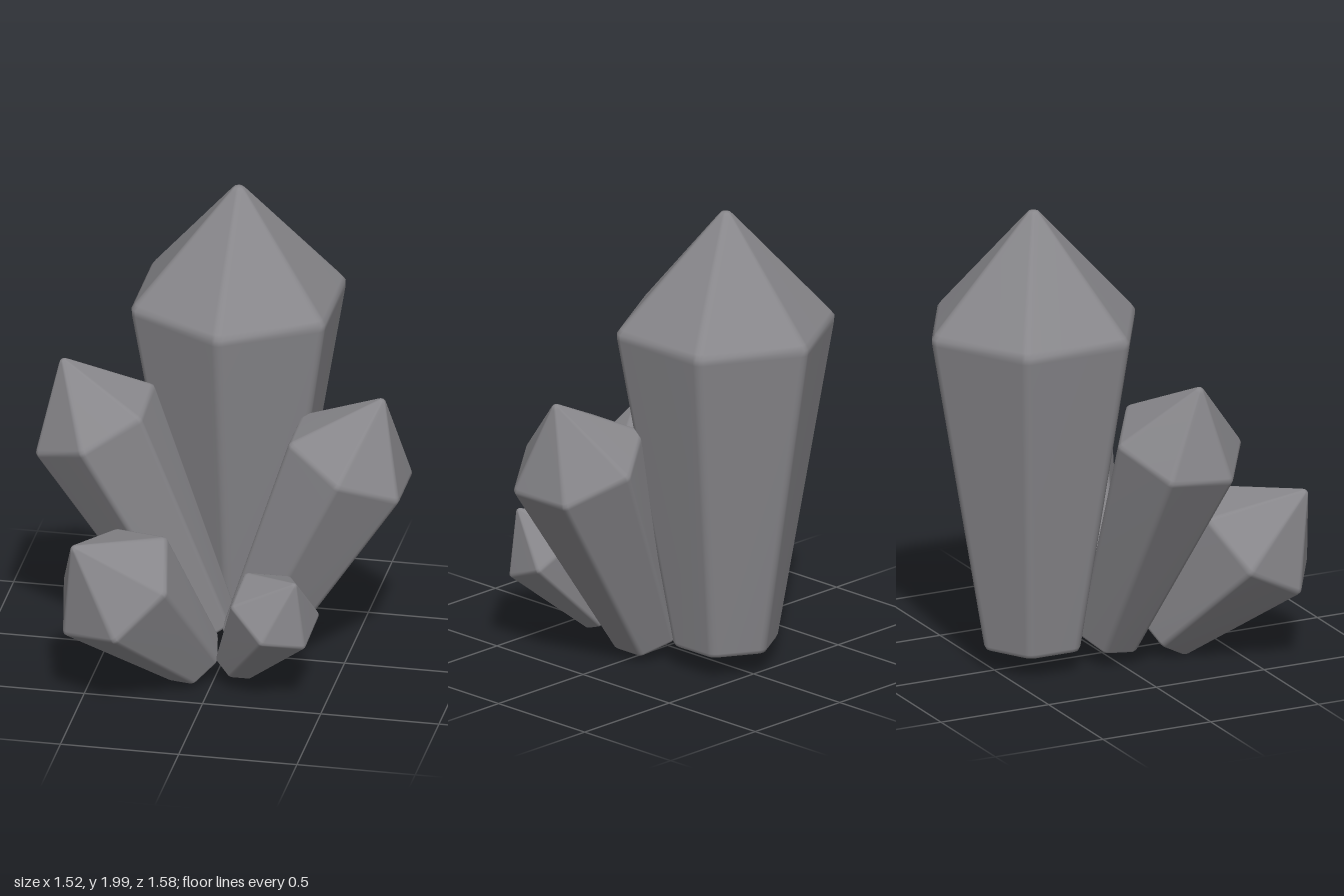
import * as THREE from 'three';

const SIDES = 6;
const ARC = 4; // points on each rounded corner

// Rounded hexagon, counter-clockwise seen from the tip (+y)
function hexRing(R, y, bevel) {
  const b = Math.min(bevel, R * 0.45);
  const d = R - b; // distance of the corner arc centres
  const pts = [];
  for (let k = 0; k < SIDES; k++) {
    const a = (k * Math.PI) / 3;
    for (let j = 0; j < ARC; j++) {
      const t = a + (j / (ARC - 1) - 0.5) * (Math.PI / 3);
      pts.push([d * Math.cos(a) + b * Math.cos(t), y, -(d * Math.sin(a) + b * Math.sin(t))]);
    }
  }
  return pts;
}

// Tapered hexagonal crystal along +y, with softened edges and a pointed cap
function crystalGeometry(r, R, body, cap, b) {
  const H = body + cap;
  const taper = (R - r) / body;
  const slope = R / cap;
  const profile = [
    [r - b * 0.5, 0],
    [r - b * 0.12, b * 0.12],
    [r + b * 0.5 * taper, b * 0.5],
    [R - b * 0.6 * taper, body - b * 0.6],
    [R - b * 0.08, body],
    [R - b * 0.45 * slope, body + b * 0.45],
    [b * 0.8, H - b * 0.5],
    [b * 0.45, H - b * 0.15],
  ];
  const n = SIDES * ARC;
  const verts = [[0, 0, 0]];
  profile.forEach(([rad, y]) => verts.push(...hexRing(rad, y, b)));
  const top = verts.push([0, H, 0]) - 1;
  const at = (i, j) => 1 + i * n + (j % n);
  const index = [];
  for (let j = 0; j < n; j++) {
    index.push(0, at(0, j + 1), at(0, j)); // base
    for (let i = 0; i < profile.length - 1; i++) {
      index.push(at(i, j), at(i, j + 1), at(i + 1, j + 1));
      index.push(at(i, j), at(i + 1, j + 1), at(i + 1, j));
    }
    index.push(at(profile.length - 1, j), at(profile.length - 1, j + 1), top); // point
  }
  const g = new THREE.BufferGeometry();
  g.setAttribute('position', new THREE.Float32BufferAttribute(verts.flat(), 3));
  g.setIndex(index);
  g.computeVertexNormals();
  return g;
}

// base: centre of the foot, shoulder: centre of the widest ring, corner: direction of one edge
const CRYSTALS = [
  { name: 'mainCrystal', base: [-0.013, 0.1, -0.325], shoulder: [-0.013, 1.5, -0.325], corner: [0, 0, 1], r: 0.22, R: 0.47, cap: 0.5, bevel: 0.045 },
  { name: 'leftCrystal', base: [0.112, 0.088, 0.003], shoulder: [0.527, 0.95, 0.003], corner: [0, 0, 1], r: 0.148, R: 0.295, cap: 0.315, bevel: 0.028 },
  { name: 'rightCrystal', base: [-0.085, 0.115, -0.01], shoulder: [-0.538, 1.07, 0.09], corner: [0, -0.03, 0.28], r: 0.138, R: 0.285, cap: 0.31, bevel: 0.028 },
  { name: 'frontRightCrystal', base: [-0.085, 0.09, 0.247], shoulder: [-0.363, 0.53, 0.537], corner: [0.043, -0.13, 0.258], r: 0.135, R: 0.293, cap: 0.317, bevel: 0.028 },
  { name: 'frontLeftCrystal', base: [0.095, 0.1, 0.27], shoulder: [0.29, 0.42, 0.415], corner: [-0.03, -0.08, 0.18], r: 0.092, R: 0.203, cap: 0.205, bevel: 0.02 },
];

export function createModel() {
  const group = new THREE.Group();
  group.name = 'crystalCluster';
  const stone = new THREE.MeshStandardMaterial({ color: 0x88878b });
  stone.name = 'greyStone';

  for (const c of CRYSTALS) {
    const base = new THREE.Vector3(...c.base);
    const axis = new THREE.Vector3(...c.shoulder).sub(base);
    const body = axis.length();
    axis.normalize();
    // Local frame: y along the crystal, x through one edge
    const x = new THREE.Vector3(...c.corner);
    x.addScaledVector(axis, -x.dot(axis)).normalize();
    const z = new THREE.Vector3().crossVectors(x, axis);

    const mesh = new THREE.Mesh(crystalGeometry(c.r, c.R, body, c.cap, c.bevel), stone);
    mesh.name = c.name;
    mesh.quaternion.setFromRotationMatrix(new THREE.Matrix4().makeBasis(x, axis, z));
    mesh.position.copy(base);
    group.add(mesh);
  }
  return group;
}
